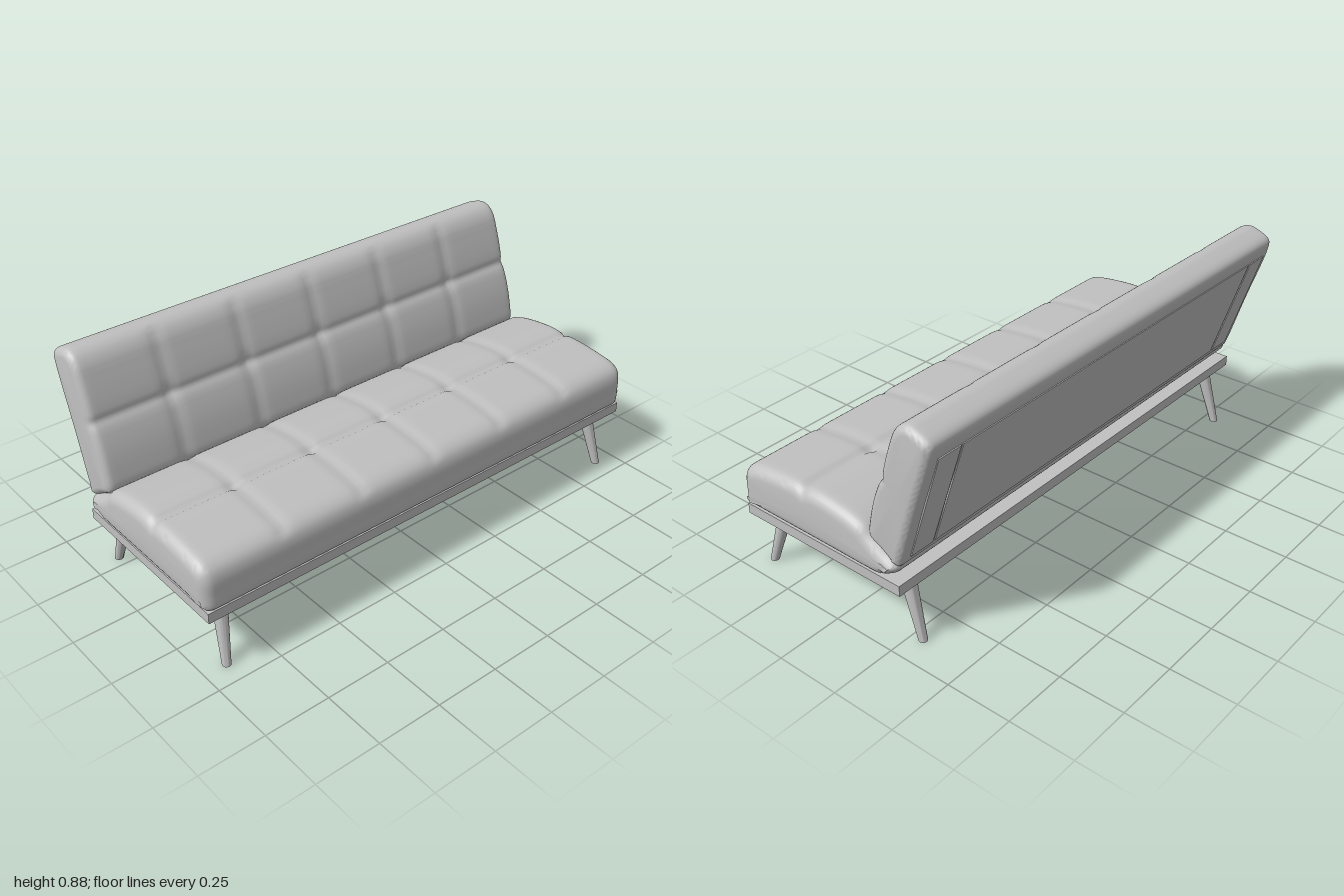
import * as THREE from 'three';
import { toCreasedNormals } from 'three/addons/utils/BufferGeometryUtils.js';

const SEAMS = [-0.66, -0.33, 0, 0.33, 0.66];
const bump = (d, w) => Math.exp(-(d * d) / (w * w));

// Lofts a closed (z, y) outline along x, rounding both ends and pressing in seams.
function cushion(outline, half, radius, floor, dent) {
  const curve = new THREE.CatmullRomCurve3(
    outline.map(([z, y]) => new THREE.Vector3(0, y, z)), true, 'centripetal');
  const ring = curve.getSpacedPoints(140).slice(0, 140);
  const n = ring.length;
  const normals = ring.map((p, j) => {
    const t = ring[(j + 1) % n].clone().sub(ring[(j + n - 1) % n]).normalize();
    return new THREE.Vector3(0, -t.z, t.y);
  });

  // Stations along x with their inset from the full outline
  const stations = [];
  for (let k = 0; k < 6; k++) {
    const a = (k / 6) * Math.PI / 2;
    stations.push([-half + radius * (1 - Math.cos(a - 0)), radius * (1 - Math.sin(a))]);
  }
  const inner = half - radius;
  for (let k = 0; k <= 100; k++) stations.push([-inner + 2 * inner * k / 100, 0]);
  for (let k = 5; k >= 0; k--) stations.push([-stations[k][0], stations[k][1]]);

  const pos = [], index = [];
  for (const [x, inset] of stations) {
    ring.forEach((p, j) => {
      const m = normals[j], d = inset + dent(x, p, m);
      pos.push(x, Math.max(floor, p.y - m.y * d), p.z - m.z * d);
    });
  }
  for (let i = 0; i < stations.length - 1; i++) {
    for (let j = 0; j < n; j++) {
      const k = (j + 1) % n;
      const a = i * n + j, b = a + n, c = i * n + k, d = c + n;
      index.push(a, b, d, a, d, c);
    }
  }
  // End caps
  const mid = ring.reduce((s, p) => s.add(p), new THREE.Vector3()).divideScalar(n);
  const last = (stations.length - 1) * n, centre = pos.length / 3;
  pos.push(-half, mid.y, mid.z, half, mid.y, mid.z);
  for (let j = 0; j < n; j++) {
    const k = (j + 1) % n;
    index.push(centre, j, k, centre + 1, last + k, last + j);
  }
  const geo = new THREE.BufferGeometry();
  geo.setAttribute('position', new THREE.Float32BufferAttribute(pos, 3));
  geo.setIndex(index);
  return toCreasedNormals(geo, 0.8);
}

// Seams across the tufted face, deepest where they meet the lengthwise seam
function tuft(x, along, facing) {
  const w = THREE.MathUtils.smoothstep(facing, 0.35, 0.9);
  const cross = Math.max(...SEAMS.map((s) => bump(x - s, 0.022)));
  return w * (0.007 * cross + 0.006 * bump(along, 0.014) + 0.006 * cross * bump(along, 0.03));
}

export function createModel() {
  const model = new THREE.Group();
  const grey = new THREE.MeshStandardMaterial({ color: 0xc0c0c0 });
  grey.name = 'plain grey';
  const add = (parent, name, geo, x = 0, y = 0, z = 0) => {
    const mesh = new THREE.Mesh(geo, grey);
    mesh.name = name;
    mesh.position.set(x, y, z);
    parent.add(mesh);
    return mesh;
  };

  // Base board
  add(model, 'baseBoard', new THREE.BoxGeometry(1.96, 0.04, 0.722), 0, 0.248, 0.076);

  // Splayed tapered legs, sheared so the feet sit flat
  for (const side of [-1, 1]) {
    for (const [name, topZ, footZ, footX] of [
      ['frontLeg', 0.353, 0.415, 0.912], ['backLeg', -0.227, -0.295, 0.895]]) {
      const geo = new THREE.CylinderGeometry(0.028, 0.016, 0.23, 24);
      const p = geo.attributes.position;
      for (let i = 0; i < p.count; i++) {
        const t = 0.5 - p.getY(i) / 0.23;
        p.setX(i, p.getX(i) + side * (footX - 0.884) * t);
        p.setZ(i, p.getZ(i) + (footZ - topZ) * t);
      }
      geo.computeVertexNormals();
      add(model, name, toCreasedNormals(geo, 0.8), side * 0.884, 0.115, topZ);
    }
  }

  // Seat cushion with its tapered rear fold
  const seat = [
    [0.43, 0.268], [0.438, 0.276], [0.44, 0.33], [0.438, 0.385], [0.425, 0.418],
    [0.395, 0.44], [0.33, 0.453], [0.22, 0.463], [0.165, 0.463], [0.14, 0.459],
    [0.115, 0.464], [0.07, 0.467], [0, 0.461], [-0.08, 0.447], [-0.13, 0.428],
    [-0.16, 0.402], [-0.22, 0.365], [-0.272, 0.335], [-0.27, 0.312], [-0.24, 0.288],
    [-0.2, 0.27], [-0.19, 0.268], [0.1, 0.268], [0.42, 0.268],
  ];
  add(model, 'seatCushion', cushion(seat, 0.995, 0.045, 0.268,
    (x, p, m) => tuft(x, p.z - 0.14, m.y)));

  // Reclined back cushion
  const back = [
    [-0.155, 0.4], [-0.15, 0.42], [-0.158, 0.47], [-0.176, 0.54], [-0.2, 0.605],
    [-0.219, 0.643], [-0.226, 0.665], [-0.238, 0.71], [-0.263, 0.785], [-0.285, 0.838],
    [-0.312, 0.868], [-0.348, 0.88], [-0.39, 0.869], [-0.425, 0.852], [-0.437, 0.836],
    [-0.435, 0.805], [-0.36, 0.575], [-0.288, 0.352], [-0.279, 0.334], [-0.265, 0.333],
    [-0.21, 0.368],
  ];
  add(model, 'backCushion', cushion(back, 0.98, 0.03, 0,
    (x, p, m) => tuft(x, p.y - 0.65, m.z)));

  // Thin rear lining: one wide panel between two side strips
  const lining = new THREE.Group();
  lining.name = 'rearLining';
  lining.position.set(0, 0.573, -0.3605);
  lining.rotation.x = -0.316;
  model.add(lining);
  add(lining, 'rearPanel', new THREE.BoxGeometry(1.64, 0.44, 0.008));
  for (const side of [-1, 1]) {
    add(lining, 'rearStrip', new THREE.BoxGeometry(0.1, 0.44, 0.009), side * 0.88, 0, 0);
  }
  return model;
}
